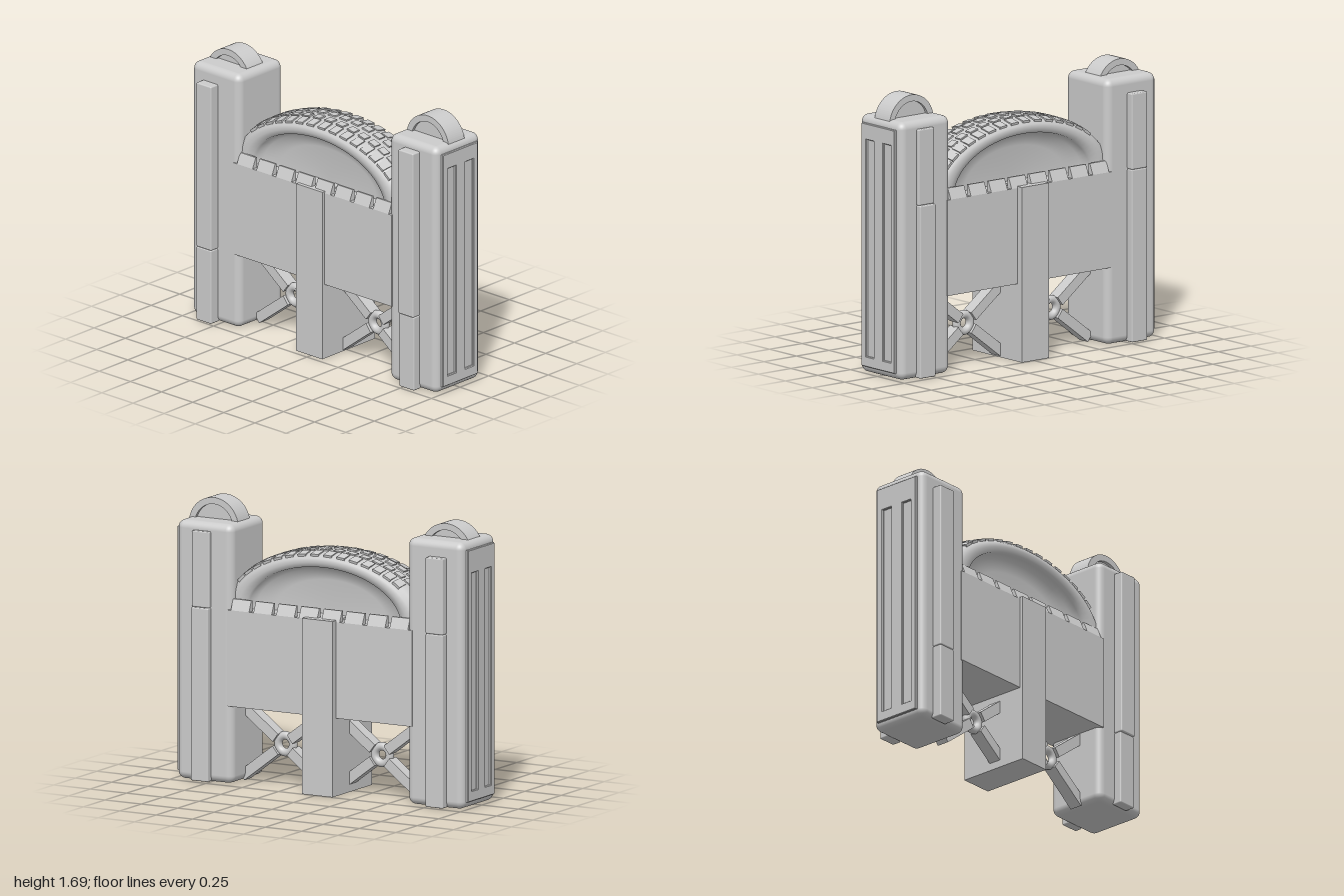
import * as THREE from 'three';
import { RoundedBoxGeometry } from 'three/addons/geometries/RoundedBoxGeometry.js';

const mat = new THREE.MeshStandardMaterial({ color: 0xcccccc });
const CX = 0.005; // middle of the body across its width

function add(parent, name, geometry, x = 0, y = 0, z = 0) {
  const mesh = new THREE.Mesh(geometry, mat);
  mesh.name = name;
  mesh.position.set(x, y, z);
  parent.add(mesh);
  return mesh;
}

const box = (w, h, d) => new THREE.BoxGeometry(w, h, d);

function rect(target, x0, y0, x1, y1) {
  target.moveTo(x0, y0);
  target.lineTo(x1, y0);
  target.lineTo(x1, y1);
  target.lineTo(x0, y1);
  target.closePath();
  return target;
}

// Tall end pillar, its outer face towards +z
function makePillar(height) {
  const pillar = new THREE.Group();
  add(pillar, 'pillarBody', new RoundedBoxGeometry(0.39, height, 0.385, 4, 0.045), 0, height / 2, -0.0075);

  // Outer plate pierced by two long slots
  const plate = rect(new THREE.Shape(), -0.15, 0.045, 0.15, height - 0.05);
  for (const x of [-0.075, 0.08]) plate.holes.push(rect(new THREE.Path(), x - 0.039, 0.1, x + 0.039, 1.42));
  add(pillar, 'slottedPlate', new THREE.ExtrudeGeometry(plate, {
    depth: 0.015, bevelThickness: 0.005, bevelSize: 0.004, bevelSegments: 1,
  }), 0, 0, 0.18);

  // Rounded strap over a narrower drum on top
  const strap = new THREE.Shape();
  strap.absarc(0, 0, 0.17, 0, Math.PI);
  strap.absarc(0, 0, 0.13, Math.PI, 0, true);
  const strapGeo = new THREE.ExtrudeGeometry(strap, { depth: 0.14, bevelEnabled: false, curveSegments: 24 });
  strapGeo.translate(0, 0, -0.07).rotateY(Math.PI / 2);
  add(pillar, 'topStrap', strapGeo, 0, 1.52, 0);
  const drum = new THREE.CylinderGeometry(0.135, 0.135, 0.1, 32);
  add(pillar, 'topDrum', drum.rotateZ(Math.PI / 2), 0, 1.52, 0);
  return pillar;
}

// Raised strip on a pillar side, split in a lower and an upper length
function addStrip(parent, side, z, split, lower, upper) {
  const edge = CX + side * 0.18;
  const pieces = [[0.005, split, lower], [split, 1.51, upper]];
  for (const [y0, y1, reach] of pieces) {
    const depth = Math.abs(reach - edge);
    add(parent, 'sideStrip', new RoundedBoxGeometry(depth, y1 - y0, 0.12, 2, 0.008),
      (edge + reach) / 2, (y0 + y1) / 2, z);
  }
}

// Large oval wheel lying half inside the middle box
function makeWheel() {
  const wheel = new THREE.Group();
  const half = [[0, 0.05], [0.22, 0.06], [0.285, 0.09], [0.305, 0.125], [0.308, 0.15],
    [0.335, 0.162], [0.36, 0.158], [0.38, 0.135], [0.392, 0.08]];
  const profile = half.map(([r, a]) => new THREE.Vector2(r, -a));
  profile.push(...half.slice().reverse().map(([r, a]) => new THREE.Vector2(r, a)));
  add(wheel, 'tyre', new THREE.LatheGeometry(profile, 72).rotateZ(Math.PI / 2).scale(1, 1, 1.74));

  // Staggered tread lugs following the oval
  for (let i = -7; i <= 7; i++) {
    for (const side of [-1, 1]) {
      const t = (i + (side > 0 ? 0.5 : 0)) * 0.135;
      const slope = Math.atan2(0.388 * Math.sin(t), 0.675 * Math.cos(t));
      for (const [x, y, w, tilt] of [[0.042, 0.39, 0.05, 0.02], [0.112, 0.381, 0.07, 0.2]]) {
        const a = t + (x > 0.1 ? 0.03 : 0);
        const lug = add(wheel, 'treadLug', box(w, 0.02, 0.055), side * x, y * Math.cos(a), y * 1.74 * Math.sin(a));
        lug.rotation.set(slope, 0, -side * tilt);
      }
    }
  }
  return wheel;
}

// Crossed struts with a ring at the crossing
function makeBrace() {
  const brace = new THREE.Group();
  for (const s of [-1, 1]) {
    for (const end of [-1, 1]) {
      const strut = add(brace, 'strut', box(0.08, 0.062, 0.29), 0, s * end * 0.125, end * 0.165);
      strut.rotation.x = -s * 0.65;
    }
  }
  add(brace, 'crossingRing', new THREE.TorusGeometry(0.051, 0.025, 14, 32).rotateY(Math.PI / 2));
  return brace;
}

// Wedge tooth: upright inner face, outer face sloping in
function toothGeometry() {
  const s = new THREE.Shape();
  s.moveTo(0, 0);
  s.lineTo(0.04, 0);
  s.lineTo(0.012, 0.065);
  s.lineTo(0, 0.065);
  const g = new THREE.ExtrudeGeometry(s, { depth: 0.125, bevelEnabled: false });
  return g.translate(0, 0, -0.0625);
}

export function createModel() {
  const model = new THREE.Group();
  model.name = 'wheelGate';

  // End pillars
  const front = makePillar(1.56);
  front.name = 'frontPillar';
  front.position.set(CX, 0, 0.8);
  const back = makePillar(1.605);
  back.name = 'backPillar';
  back.position.set(CX, 0, -0.8);
  back.rotation.y = Math.PI;
  model.add(front, back);
  addStrip(model, 1, 0.805, 1.05, 0.236, 0.222);
  addStrip(model, -1, 0.79, 0.47, -0.24, -0.248);
  addStrip(model, 1, -0.815, 1.05, 0.245, 0.245);
  addStrip(model, -1, -0.83, 0.47, -0.25, -0.25);

  // Middle box and its central column
  add(model, 'middleBox', box(0.4, 0.58, 1.27), CX, 0.76, -0.005);
  add(model, 'centreColumn', box(0.46, 1.06, 0.21), 0.015, 0.53, -0.013);

  // Row of teeth along both top edges
  const tooth = toothGeometry();
  for (let i = 0; i < 8; i++) {
    const z = 0.543 - i * 0.156;
    add(model, 'leftTooth', tooth, CX + 0.16, 1.05, z);
    add(model, 'rightTooth', tooth, CX - 0.16, 1.05, z).rotation.y = Math.PI;
  }

  // Wheel
  const wheel = makeWheel();
  wheel.name = 'wheel';
  wheel.position.set(0, 1.05, 0);
  model.add(wheel);

  // Braces under the box
  for (const z of [0.345, -0.32]) {
    const brace = makeBrace();
    brace.name = 'crossBrace';
    brace.position.set(CX, 0.238, z);
    model.add(brace);
  }
  return model;
}
